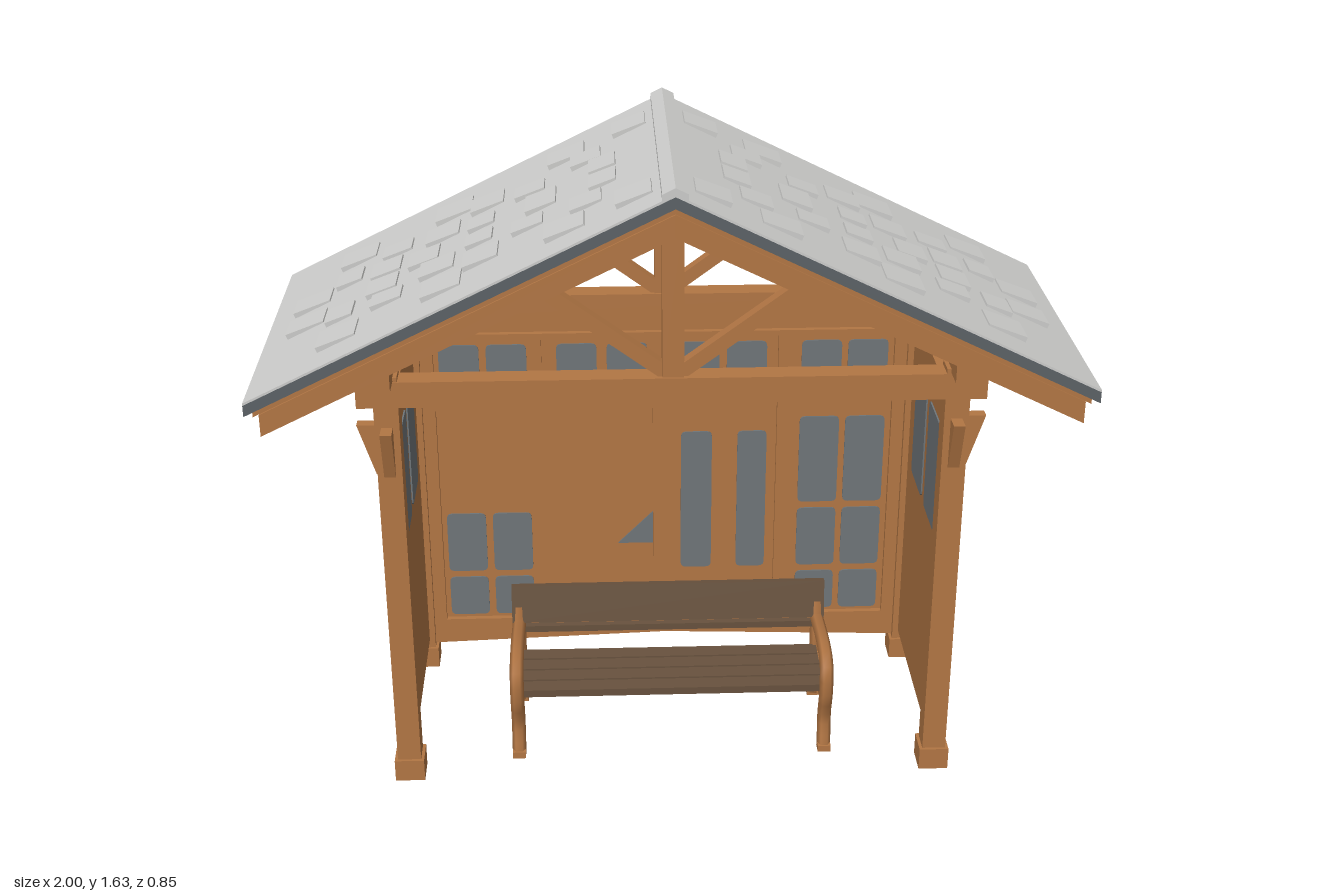
import * as THREE from 'three';

const mat = (name, color, side = THREE.FrontSide) => {
  const m = new THREE.MeshStandardMaterial({ color, side });
  m.name = name;
  return m;
};

export function createModel() {
  const root = new THREE.Group();
  root.name = 'benchShelter';
  const wood = mat('warm wood', 0xb27644);
  const glass = mat('grey glass', 0x6f7579);
  const shingleGrey = mat('light shingle', 0xcdcdcb);
  const slate = mat('dark roof edge', 0x5c6266);
  const plank = mat('dark plank', 0x68523e);

  const add = (name, geo, m, x = 0, y = 0, z = 0, parent = root) => {
    const mesh = new THREE.Mesh(geo, m);
    mesh.name = name;
    mesh.position.set(x, y, z);
    parent.add(mesh);
    return mesh;
  };
  // box given by its limits
  const span = (name, m, x0, x1, y0, y1, z0, z1, parent = root) =>
    add(name, new THREE.BoxGeometry(x1 - x0, y1 - y0, z1 - z0), m, (x0 + x1) / 2, (y0 + y1) / 2, (z0 + z1) / 2, parent);
  // flat outline extruded along z from z0 to z1
  const prism = (name, m, pts, z0, z1) => {
    const shape = new THREE.Shape(pts.map(p => new THREE.Vector2(p[0], p[1])));
    return add(name, new THREE.ExtrudeGeometry(shape, { depth: z1 - z0, bevelEnabled: false }), m, 0, 0, z0);
  };
  // sloping bar between two points in the xy plane
  const bar = (name, a, b, width, depth, z) => {
    const dx = b[0] - a[0], dy = b[1] - a[1];
    const mesh = add(name, new THREE.BoxGeometry(Math.hypot(dx, dy), width, depth), wood, (a[0] + b[0]) / 2, (a[1] + b[1]) / 2, z);
    mesh.rotation.z = Math.atan2(dy, dx);
    return mesh;
  };

  // roof layers share one gable slope
  const slope = 0.49;
  const gable = (name, m, top, thick, half, z0, z1) => prism(name, m, [
    [-half, top - slope * half], [-half, top - slope * half - thick], [0, top - thick],
    [half, top - slope * half - thick], [half, top - slope * half], [0, top]], z0, z1);
  gable('roofCover', shingleGrey, 1.62, 0.006, 1, -0.428, 0.422);
  gable('roofEdge', slate, 1.614, 0.028, 1, -0.428, 0.422);
  gable('roofDeck', wood, 1.586, 0.014, 0.98, -0.42, 0.415);
  gable('ridgeCap', shingleGrey, 1.635, 0.018, 0.03, -0.428, 0.422);
  for (const s of [-1, 1]) {
    gable('bargeRafter', wood, 1.572, 0.055, 0.965, s * 0.398 - 0.022, s * 0.398 + 0.022);
    gable('trussRafter', wood, 1.572, 0.06, 0.9, s * 0.28 - 0.025, s * 0.28 + 0.025);
  }

  // scattered raised shingles: distance from ridge, depth, size along slope, width
  const shingles = [
    [0.09, 0.28, 0.09, 0.10], [0.16, 0.06, 0.07, 0.10], [0.20, 0.17, 0.08, 0.09],
    [0.25, 0.28, 0.10, 0.10], [0.31, 0.0, 0.08, 0.12], [0.34, 0.13, 0.08, 0.08],
    [0.45, 0.2, 0.09, 0.10], [0.46, 0.06, 0.07, 0.08], [0.54, 0.27, 0.10, 0.11],
    [0.56, 0.12, 0.09, 0.10], [0.60, 0.0, 0.08, 0.10], [0.68, 0.17, 0.08, 0.08],
    [0.70, 0.06, 0.08, 0.10], [0.79, 0.27, 0.10, 0.10], [0.80, 0.12, 0.07, 0.09],
    [0.89, 0.07, 0.10, 0.09]];
  for (const s of [-1, 1]) for (const [d, z, len, w] of shingles) for (const t of z ? [-1, 1] : [1]) {
    const tile = add('shingle', new THREE.BoxGeometry(len, 0.014, w), shingleGrey, s * d, 1.62 - slope * d + 0.002, t * z);
    tile.rotation.z = -s * (Math.atan(slope) - 0.09);
  }

  // posts, feet and brackets at the four corners
  for (const s of [-1, 1]) for (const t of [-1, 1]) {
    const x = s * 0.685, z = t * 0.278;
    span('post', wood, x - 0.03, x + 0.03, 0.05, 1.14, z - 0.03, z + 0.03);
    span('foot', wood, x - 0.038, x + 0.038, 0, 0.06, z - 0.038, z + 0.038);
    const outline = [[0.02, 0.88], [0.034, 0.88], [0.075, 1.01], [0.02, 1.01]];
    const side = prism('sideBracket', wood, outline, -0.014, 0.014);
    const end = prism('endBracket', wood, outline, -0.014, 0.014);
    side.position.set(x, 0, z);
    side.rotation.y = s > 0 ? 0 : Math.PI;
    end.position.set(x, 0, z);
    end.rotation.y = -t * Math.PI / 2;
    // place the extrusion centrally on the post
    side.geometry.translate(0, 0, -0.014);
    end.geometry.translate(0, 0, -0.014);
  }
  for (const s of [-1, 1])
    span('wallPlate', wood, s * 0.7 - 0.035, s * 0.7 + 0.035, 1.13, 1.19, -0.37, 0.37);
  span('ridgeBeam', wood, -0.02, 0.02, 1.5, 1.56, -0.39, 0.39);

  // open gable trusses
  for (const t of [-1, 1]) {
    const z = t * 0.28;
    span('tieBeam', wood, -0.755, 0.755, 1.062, 1.128, z - 0.03, z + 0.03);
    span('kingPost', wood, -0.026, 0.026, 1.12, 1.54, z - 0.024, z + 0.024);
    for (const s of [-1, 1]) bar('strut', [s * 0.01, 1.13], [s * 0.34, 1.375], 0.034, 0.035, z);
  }

  // walls
  for (const s of [-1, 1])
    span('sideWall', wood, s * 0.688 - 0.017, s * 0.688 + 0.017, 0.085, 1.055, -0.29, 0.29);
  prism('backWall', wood, [[-0.68, 0.065], [0, 0.088], [0.68, 0.065], [0.68, 1.07], [-0.68, 1.07]], -0.295, -0.265);

  // thin window panes with rounded corners
  const pane = (x0, x1, y0, y1, skew = 0) => {
    const r = 0.015, p = new THREE.Shape();
    p.moveTo(x0 + r, y0);
    p.lineTo(x1 - r, y0 + skew);
    p.quadraticCurveTo(x1, y0 + skew, x1, y0 + r + skew);
    p.lineTo(x1, y1 - r + skew);
    p.quadraticCurveTo(x1, y1 + skew, x1 - r, y1 + skew);
    p.lineTo(x0 + r, y1);
    p.quadraticCurveTo(x0, y1, x0, y1 - r);
    p.lineTo(x0, y0 + r);
    p.quadraticCurveTo(x0, y0, x0 + r, y0);
    return new THREE.ExtrudeGeometry(p, { depth: 0.004, bevelEnabled: false, curveSegments: 3 });
  };
  for (const s of [-1, 1]) for (const off of [-0.021, 0.017])
    for (const [z0, z1] of [[0.04, 0.2], [-0.165, -0.005]]) {
      const g = pane(-z1, -z0, 0.64, 0.94);
      g.rotateY(Math.PI / 2);
      add('sideWindow', g, glass, s * 0.688 + off);
    }
  const innerPanes = [];
  for (const x of [-0.605, -0.478, -0.29, -0.155, 0.04, 0.168, 0.37, 0.495]) innerPanes.push([x, x + 0.108, 0.815, 0.985]);
  for (const x of [-0.605, -0.478, 0.37, 0.495]) innerPanes.push([x, x + 0.108, 0.3, 0.48], [x, x + 0.108, 0.16, 0.28]);
  for (const x of [0.37, 0.495]) innerPanes.push([x, x + 0.108, 0.5, 0.76]);
  innerPanes.push([0.045, 0.13, 0.3, 0.72], [0.2, 0.28, 0.3, 0.72]);
  for (const p of innerPanes) add('innerWindow', pane(...p), glass, 0, 0, -0.265);
  prism('windowCorner', glass, [[-0.13, 0.38], [-0.03, 0.38], [-0.03, 0.48]], -0.265, -0.261);
  const outerPanes = [
    [0.47, 0.56, 0.82, 0.97], [0.39, 0.55, 0.56, 0.72, -0.08], [0.33, 0.44, 0.2, 0.5, -0.02],
    [0.17, 0.26, 0.34, 0.72, -0.05], [0.05, 0.1, 0.42, 0.5], [-0.15, -0.06, 0.3, 0.46],
    [-0.605, -0.5, 0.815, 0.985], [-0.605, -0.5, 0.3, 0.48], [-0.605, -0.5, 0.16, 0.28]];
  for (const p of outerPanes) add('outerWindow', pane(...p), glass, 0, 0, -0.299);
  prism('diagonalBatten', wood, [[0.34, 1.0], [-0.06, 0.1], [0.01, 0.1]], -0.308, -0.294);

  // raised frame on the inside of the back wall
  const batten = (x0, x1, y0, y1) => span('wallFrame', wood, x0, x1, y0, y1, -0.266, -0.25);
  for (const s of [-1, 1]) batten(s * 0.627 - 0.008, s * 0.627 + 0.008, 0.145, 1.02);
  for (const x of [-0.018, 0.32]) batten(x - 0.014, x + 0.014, 0.145, 1.02);
  batten(-0.635, 0.635, 0.135, 0.15);
  batten(-0.635, 0.635, 1.005, 1.02);
  batten(-0.635, -0.02, 0.798, 0.81);
  batten(-0.36, -0.33, 0.8, 1.02);

  // bench
  const bench = new THREE.Group();
  bench.name = 'bench';
  root.add(bench);
  for (let i = 0; i < 4; i++) {
    const z = 0.045 + i * 0.053;
    span('seatSlat', plank, -0.4, 0.4, 0.19, 0.21, z - 0.023, z + 0.023, bench);
  }
  const back = add('backrest', new THREE.BoxGeometry(0.84, 0.105, 0.02), plank, 0, 0.342, 0, bench);
  back.rotation.x = -0.15;
  span('backRail', plank, -0.4, 0.4, 0.265, 0.283, 0.004, 0.022, bench);
  const rod = (name, x, pts) => add(name, new THREE.TubeGeometry(
    new THREE.CatmullRomCurve3(pts.map(p => new THREE.Vector3(x, p[1], p[0]))), 14, 0.018, 6), wood, 0, 0, 0, bench);
  for (const s of [-1, 1]) {
    const x = s * 0.402;
    rod('frontLegAndArm', x, [[0.25, 0.03], [0.235, 0.12], [0.26, 0.21], [0.25, 0.28], [0.18, 0.3], [0.005, 0.285]]);
    rod('rearLeg', x, [[-0.025, 0.03], [0.005, 0.14], [0.012, 0.24], [-0.012, 0.37]]);
    span('seatBearer', wood, x - 0.012, x + 0.012, 0.165, 0.19, 0.0, 0.24, bench);
    // flat caps under the legs
    span('legFoot', wood, x - 0.017, x + 0.017, 0.027, 0.045, 0.233, 0.267, bench);
    span('legFoot', wood, x - 0.017, x + 0.017, 0.027, 0.045, -0.04, -0.008, bench);
  }
  return root;
}
